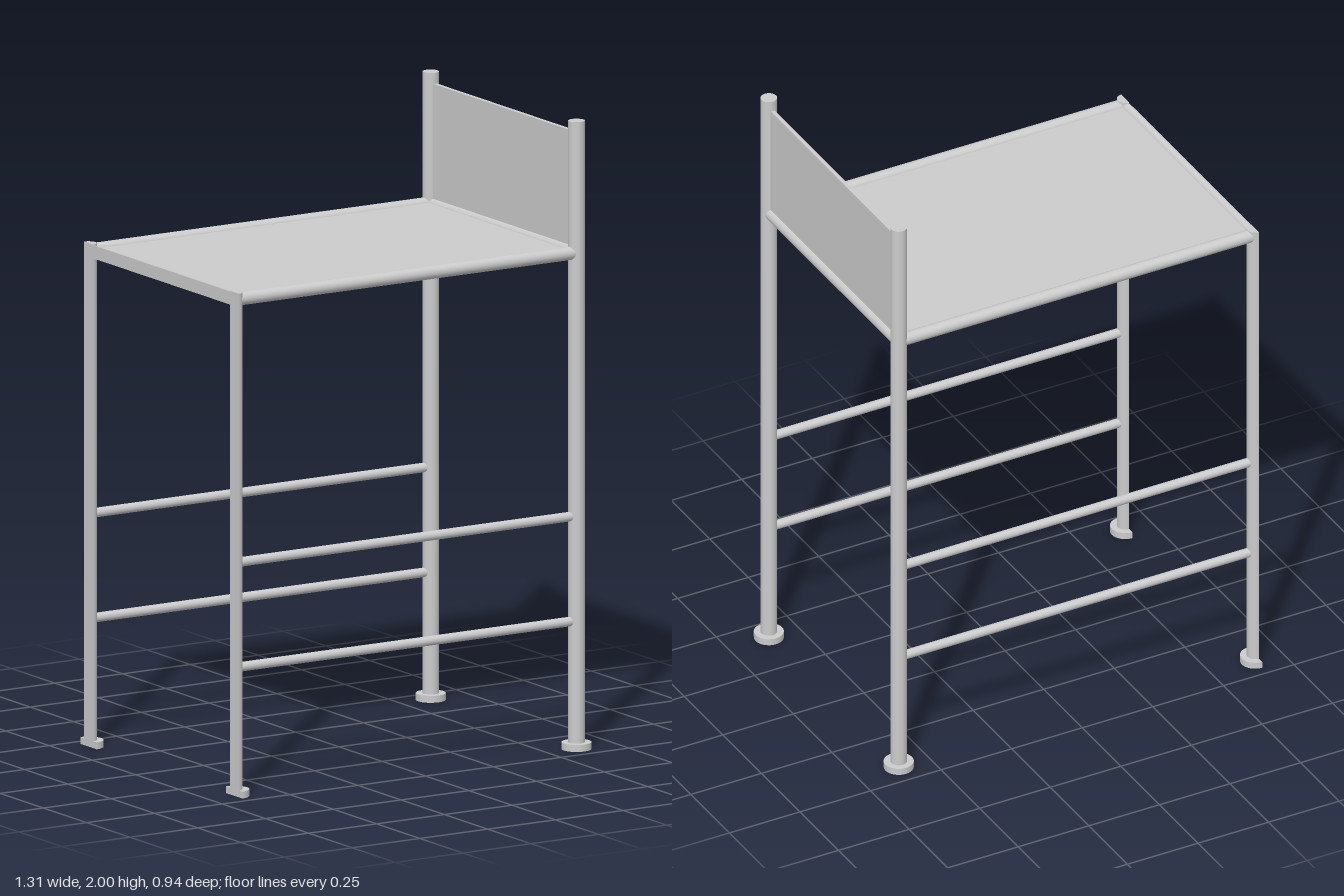
import * as THREE from 'three';
import { mergeGeometries } from 'three/addons/utils/BufferGeometryUtils.js';

const CUT = -0.655;   // flat end of the frame
const POST = 0.607;   // x of the full posts
const Z = 0.421;      // z of posts and side rails
const DECK = 1.58;    // height of the deck and its rails

export function createModel() {
  const model = new THREE.Group();
  const material = new THREE.MeshStandardMaterial({ color: 0xcccccc });

  function add(name, geometry, x, y, z) {
    const mesh = new THREE.Mesh(geometry, material);
    mesh.name = name;
    mesh.position.set(x, y, z);
    model.add(mesh);
    return mesh;
  }

  // full round bar, upright
  const bar = (r, length) => new THREE.CylinderGeometry(r, r, length, 32);

  // bar split lengthwise: round towards +x, closed by a flat face towards -x
  const halfBar = (r, length) => mergeGeometries([
    new THREE.CylinderGeometry(r, r, length, 16, 1, false, 0, Math.PI),
    new THREE.PlaneGeometry(2 * r, length).rotateY(-Math.PI / 2),
  ]);

  for (const side of [1, -1]) {
    const z = side * Z;
    const label = side > 0 ? 'front' : 'back';

    // tall posts beside the end panel
    add(label + 'TallPost', bar(0.026, 2), POST, 1, z);
    add(label + 'TallPostFoot', bar(0.047, 0.022), POST, 0.011, z);

    // short split posts at the flat end
    add(label + 'ShortPost', halfBar(0.026, 1.603), CUT, 0.8015, z);
    add(label + 'ShortPostFoot', halfBar(0.047, 0.022), CUT, 0.011, z);

    // long rails: deck edge and two thinner braces
    const length = POST - CUT - 0.01;
    const middle = (POST + CUT) / 2 + 0.005;
    for (const [name, y, r] of [['DeckRail', DECK, 0.021], ['UpperBrace', 0.742, 0.015], ['LowerBrace', 0.408, 0.015]]) {
      add(label + name, bar(r, length).rotateZ(Math.PI / 2), middle, y, z);
    }
  }

  // cross rails under the end panel and at the flat end
  add('panelRail', bar(0.021, 2 * Z).rotateX(Math.PI / 2), POST, DECK, 0);
  add('endRail', halfBar(0.021, 2 * Z).rotateX(Math.PI / 2), CUT, DECK, 0);

  // deck board and upright end panel
  add('deck', new THREE.BoxGeometry(POST - CUT - 0.002, 0.014, 2 * Z), (POST + CUT) / 2, DECK, 0);
  add('endPanel', new THREE.BoxGeometry(0.014, 0.385, 2 * Z), POST, DECK + 0.1925, 0);

  return model;
}
